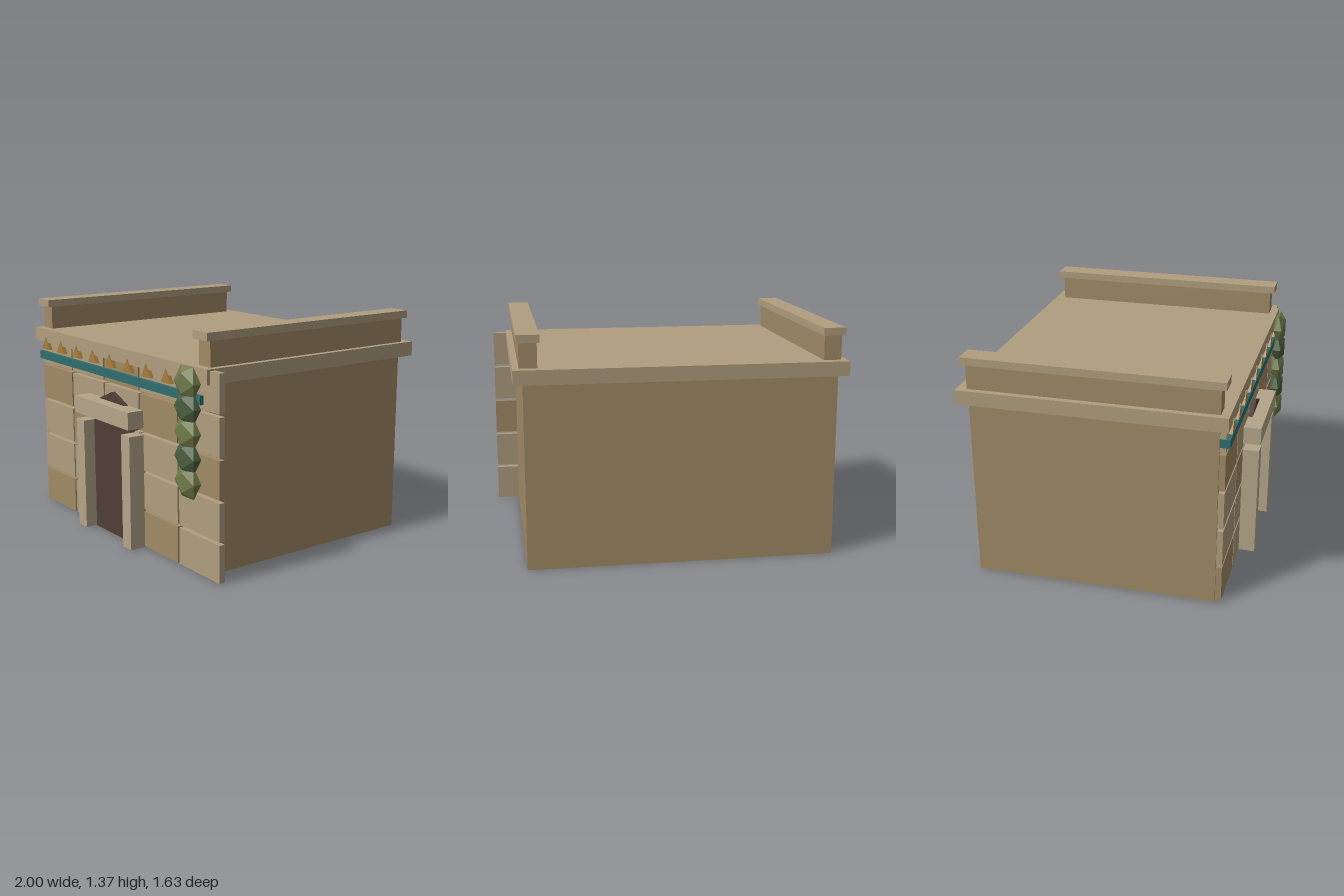
import * as THREE from 'three';

const material = (color) => new THREE.MeshStandardMaterial({ color, flatShading: true });

export function createModel() {
  const model = new THREE.Group();
  const paleStone = material(0xb09d7e);
  const darkStone = material(0xa08a66);
  const frameStone = material(0xb4a58a);
  const doorDark = material(0x4f3f35);
  const teal = material(0x2f6d6e);
  const ochre = material(0xa87f3d);
  const leaves = [material(0x707a4a), material(0x4a603f)];

  const add = (name, geometry, mat, parent = model) => {
    const mesh = new THREE.Mesh(geometry, mat);
    mesh.name = name;
    parent.add(mesh);
    return mesh;
  };
  // Box given by its extents on each axis
  const box = (name, [x0, x1], [y0, y1], [z0, z1], mat, parent) => {
    const mesh = add(name, new THREE.BoxGeometry(x1 - x0, y1 - y0, z1 - z0), mat, parent);
    mesh.position.set((x0 + x1) / 2, (y0 + y1) / 2, (z0 + z1) / 2);
    return mesh;
  };
  const group = (name) => {
    const g = new THREE.Group();
    g.name = name;
    model.add(g);
    return g;
  };

  // Main volume and overhanging roof slab
  box('body', [-0.95, 0.86], [0, 1.09], [-0.76, 0.675], darkStone);
  box('roofSlab', [-1, 0.915], [1.09, 1.175], [-0.82, 0.73], paleStone);

  // Parapets with caps along both sides of the roof
  for (const [side, x] of [['right', -0.913], ['left', 0.827]]) {
    const parapet = group(side + 'Parapet');
    box('parapetWall', [x - 0.051, x + 0.051], [1.175, 1.32], [-0.76, 0.68], darkStone, parapet);
    box('parapetCap', [x - 0.065, x + 0.065], [1.32, 1.365], [-0.79, 0.71], paleStone, parapet);
  }

  // Facing blocks on the front, every third one darker
  const blocks = group('facingBlocks');
  for (let row = 0; row < 5; row++) {
    for (let col = 0; col < 5; col++) {
      const x = -0.94 + col * 0.391;
      const y = 0.005 + row * 0.2355;
      const mat = (row + col) % 3 === 0 ? darkStone : paleStone;
      box('facingBlock', [x, x + 0.376], [y, y + 0.218], [0.673, 0.71], mat, blocks);
    }
  }

  // Doorway with a faceted arch
  const doorX = -0.04;
  const door = group('doorway');
  box('doorOpening', [doorX - 0.21, doorX + 0.21], [0, 0.685], [0.66, 0.737], doorDark, door);
  const arch = add('doorArch', new THREE.CylinderGeometry(0.21, 0.21, 0.077, 8), doorDark, door);
  arch.rotation.x = Math.PI / 2;
  arch.position.set(doorX, 0.685, 0.6985);

  // Door frame
  for (const s of [-1, 1]) {
    const x = doorX + s * 0.26;
    box('doorPost', [x - 0.045, x + 0.045], [0, 0.688], [0.7, 0.808], frameStone, door);
  }
  box('lintel', [doorX - 0.305, doorX + 0.265 + 0.04], [0.73, 0.835], [0.7, 0.815], frameStone, door);

  // Coloured band and row of triangular ornaments
  box('frieze', [-0.945, 0.86], [0.975, 1.025], [0.675, 0.733], teal);
  const triangle = new THREE.Shape([
    new THREE.Vector2(-0.046, 0),
    new THREE.Vector2(0.046, 0),
    new THREE.Vector2(0, 0.077),
  ]);
  const ornament = new THREE.ExtrudeGeometry(triangle, { depth: 0.036, bevelEnabled: false });
  const ornaments = group('triangleOrnaments');
  for (let i = 0; i < 9; i++) {
    add('triangleOrnament', ornament, ochre, ornaments).position.set(-0.86 + i * 0.1993, 1.044, 0.7);
  }

  // Hanging vine of flattened leaf clumps
  const vine = group('hangingVine');
  const clump = new THREE.IcosahedronGeometry(0.107, 0);
  for (let i = 0; i < 5; i++) {
    const mesh = add('leafClump', clump, leaves[i % 2], vine);
    mesh.scale.z = 0.45;
    mesh.position.set(0.772, 1.088 - i * 0.138, 0.755);
  }

  return model;
}
